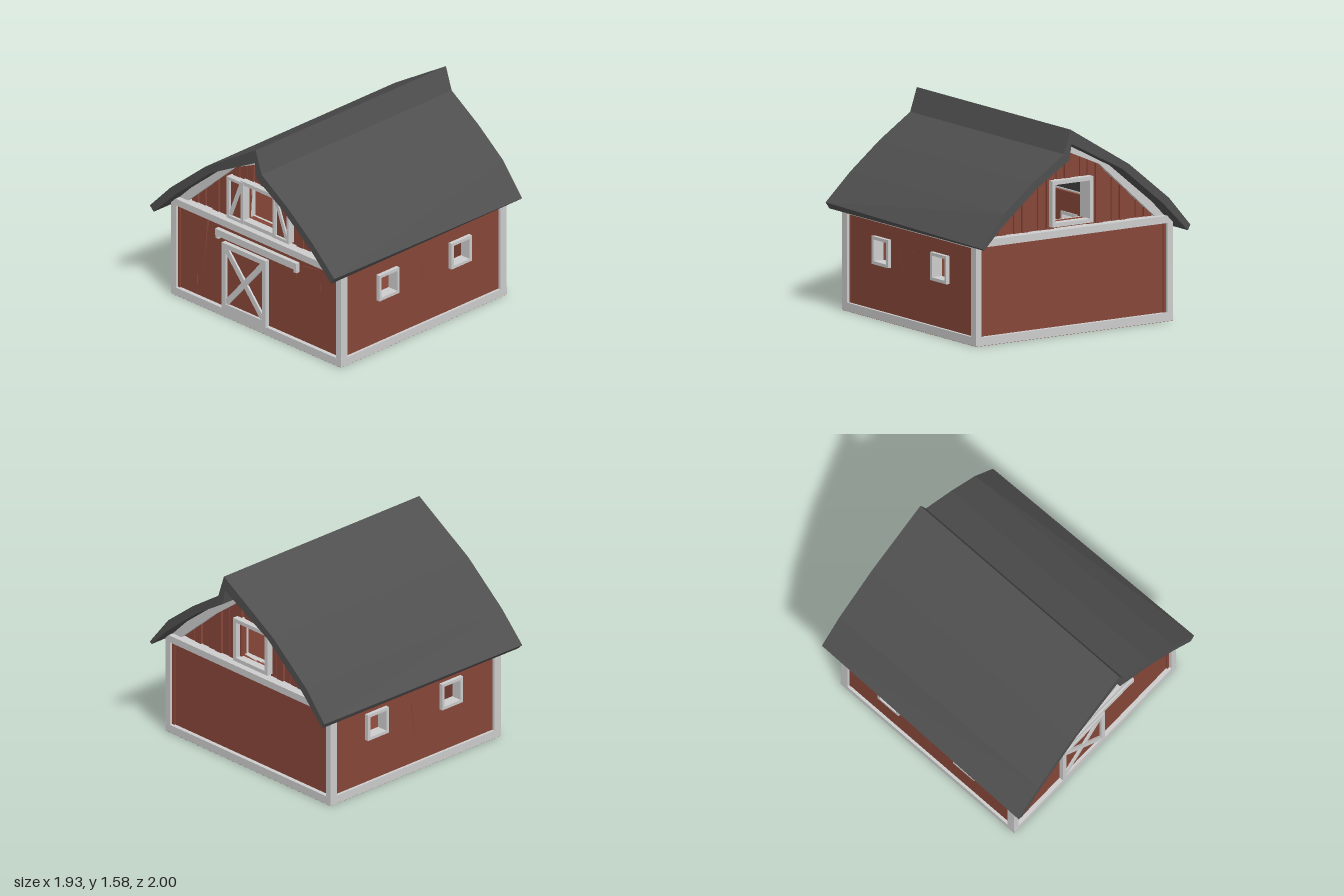
import * as THREE from 'three';

const mat = (name, color) => Object.assign(new THREE.MeshStandardMaterial({ color, flatShading: true }), { name });

export function createModel() {
  const barn = new THREE.Group();
  barn.name = 'barn';
  const red = mat('barn red', 0x864638);
  const white = mat('trim white', 0xcccccc);
  const grey = mat('roof grey', 0x4f4f4f);

  const add = (name, geo, m) => {
    const mesh = new THREE.Mesh(geo, m);
    mesh.name = name;
    barn.add(mesh);
    return mesh;
  };
  const box = (name, m, x0, x1, y0, y1, z0, z1) =>
    add(name, new THREE.BoxGeometry(x1 - x0, y1 - y0, Math.abs(z1 - z0))
      .translate((x0 + x1) / 2, (y0 + y1) / 2, (z0 + z1) / 2), m);
  const rect = (x0, x1, y0, y1) => [[x0, y0], [x1, y0], [x1, y1], [x0, y1]];
  const toV = (pts) => pts.map(([x, y]) => new THREE.Vector2(x, y));

  // outline in x,y (with holes) extruded between two depths
  const prismGeo = (pts, za, zb, holes = []) => {
    const shape = new THREE.Shape(toV(pts));
    holes.forEach((h) => shape.holes.push(new THREE.Path(toV(h))));
    return new THREE.ExtrudeGeometry(shape, { depth: Math.abs(zb - za), bevelEnabled: false })
      .translate(0, 0, Math.min(za, zb));
  };
  const prism = (name, m, pts, za, zb, holes) => add(name, prismGeo(pts, za, zb, holes), m);
  // same, but the outline lies in z,y and the depth runs along x
  const sidePrism = (name, m, pts, xa, xb, holes) =>
    add(name, prismGeo(pts, -xa, -xb, holes).rotateY(-Math.PI / 2), m);
  // straight board between two points of a front-facing plane
  const board = (name, m, [ax, ay], [bx, by], w, z0, z1) => {
    const len = Math.hypot(bx - ax, by - ay);
    add(name, new THREE.BoxGeometry(len, w, z1 - z0)
      .rotateZ(Math.atan2(by - ay, bx - ax))
      .translate((ax + bx) / 2, (ay + by) / 2, (z0 + z1) / 2), m);
  };

  const xL = -0.875, xR = 0.905, zE = 0.873;

  // floor
  box('floor', red, xL + 0.002, xR - 0.002, 0, 0.03, -zE + 0.002, zE - 0.002);

  // lower front and back walls
  for (const s of [1, -1]) {
    box(s > 0 ? 'frontWall' : 'backWall', red, xL + 0.02, xR - 0.02, 0.02, 0.77, s * 0.79, s * 0.84);
    box('endBaseTrim', white, xL, xR, 0.002, 0.066, s * 0.8, s * zE);
    box('endBeam', white, xL + 0.01, xR - 0.03, 0.745, 0.8, s * 0.74, s * zE);
  }

  // side walls with two framed square windows each
  const windows = [0.37, -0.39];
  const square = (z, r) => rect(z - r, z + r, 0.52 - r, 0.52 + r);
  for (const [s, xe] of [[-1, xL], [1, xR]]) {
    const xo = xe - s * 0.022;
    sidePrism('sideWall', red, rect(-0.85, 0.85, 0.02, 0.78), xo, xo - s * 0.05, windows.map((z) => square(z, 0.09)));
    for (const z of windows)
      sidePrism('sideWindowFrame', white, square(z, 0.106), xe + s * 0.009, xo - s * 0.06, [square(z, 0.082)]);
    const xi = xe - s * 0.05;
    const a = Math.min(xe, xi), b = Math.max(xe, xi);
    box('sideBaseTrim', white, a, b, 0.002, 0.066, -0.86, 0.86);
    box('sideTopTrim', white, a, b, 0.738, 0.79, -0.86, 0.86);
    for (const t of [1, -1]) box('cornerPost', white, a, b, 0.003, 0.79, t * 0.805, t * (zE - 0.001));
  }

  // gable ends
  const outer = [[-0.85, 0.8], [-0.33, 1.23], [0.13, 1.47], [0.15, 1.35], [0.44, 1.17], [0.72, 0.95], [0.87, 0.8]];
  const inner = [[-0.74, 0.8], [-0.24, 1.25], [0.125, 1.41], [0.13, 1.33], [0.41, 1.12], [0.78, 0.8]];
  const topAt = (x) => {
    const i = Math.max(1, outer.findIndex((p) => p[0] >= x));
    const [p, q] = [outer[i - 1], outer[i]];
    return p[1] + (q[1] - p[1]) * (x - p[0]) / (q[0] - p[0]) - 0.015;
  };
  const loft = rect(-0.14, 0.17, 0.85, 1.14);
  const plankRows = [[-0.8, -0.15, 9], [-0.15, 0.13, 4], [0.15, 0.81, 9]];
  for (const s of [1, -1]) {
    prism('gableWall', red, outer, s * 0.74, s * 0.785, [loft]);
    prism('rakeTrim', white, [...outer, ...inner.slice().reverse()], s * 0.75, s * 0.83);
    prism('loftWindowFrame', white, rect(-0.17, 0.2, 0.82, 1.17), s * 0.72, s * 0.85, [loft]);
    // vertical planks with narrow gaps
    plankRows.forEach(([x0, x1, n], row) => {
      const w = (x1 - x0) / n;
      for (let i = 0; i < n; i++) {
        const a = x0 + i * w + 0.004, b = x0 + (i + 1) * w - 0.004;
        const base = row === 1 || b < 0.2 && row === 2 ? 1.15 : 0.79;
        prism('gablePlank', red, [[a, base], [b, base], [b, topAt(b)], [a, topAt(a)]],
          s * 0.78, s * (0.793 + 0.006 * ((i * 2 + row) % 3)));
      }
    });
  }

  // open loft shutters, each with one diagonal brace
  for (const s of [-1, 1]) {
    const X = (u) => 0.015 + s * u;
    const span = (u, v) => [Math.min(X(u), X(v)), Math.max(X(u), X(v))];
    const [a, b] = span(0.155, 0.325);
    prism('shutterFrame', white, rect(a, b, 0.82, 1.16), 0.8, 0.855, [rect(a + 0.024, b - 0.024, 0.844, 1.136)]);
    box('shutterPanel', red, a + 0.01, b - 0.01, 0.83, 1.15, 0.8, 0.835);
    board('shutterBrace', white, [X(0.295), 0.85], [X(0.185), 1.13], 0.028, 0.82, 0.85);
  }

  // sliding door with cross brace, and its rail
  prism('doorFrame', white, rect(-0.34, 0.12, 0.06, 0.61), 0.83, 0.876, [rect(-0.303, 0.083, 0.11, 0.57)]);
  box('doorPanel', red, -0.32, 0.1, 0.08, 0.6, 0.83, 0.855);
  board('doorBrace', white, [-0.3, 0.12], [0.08, 0.56], 0.045, 0.84, 0.87);
  board('doorBrace', white, [-0.3, 0.56], [0.08, 0.12], 0.045, 0.84, 0.871);
  box('doorRail', white, -0.41, 0.44, 0.645, 0.7, 0.83, 0.876);
  for (const x of [-0.41, 0.41]) box('railEnd', white, x, x + 0.03, 0.622, 0.68, 0.83, 0.874);

  // splintered ridges in the boards: [from u,v, to u,v, radius]
  const splinter = (u0, v0, u1, v1, r) => new THREE.ConeGeometry(r, Math.hypot(u1 - u0, v1 - v0), 3)
    .scale(1, 1, 0.6)
    .rotateZ(Math.atan2(v1 - v0, u1 - u0) - Math.PI / 2)
    .translate((u0 + u1) / 2, (v0 + v1) / 2, 0);
  const frontMarks = [[-0.52, 0.73, -0.585, 0.09, 0.02], [-0.63, 0.15, -0.63, 0.55, 0.012],
    [-0.51, 0.74, -0.51, 0.22, 0.01], [0.48, 0.68, 0.85, 0.74, 0.014],
    [0.41, 0.61, 0.41, 0.44, 0.008], [0.66, 0.62, 0.67, 0.28, 0.008]];
  const sideMarks = [[0.13, 0.4, 0.17, 0.74, 0.018], [0.13, 0.5, 0.095, 0.2, 0.018],
    [-0.03, 0.58, 0.04, 0.07, 0.015], [-0.57, 0.73, -0.64, 0.25, 0.015], [0.65, 0.22, 0.58, 0.07, 0.008]];
  for (const k of frontMarks) add('frontSplinter', splinter(...k).translate(0, 0, 0.837), red);
  for (const k of sideMarks) {
    add('sideSplinter', splinter(...k).rotateY(-Math.PI / 2).translate(xL + 0.024, 0, 0), red);
    add('sideSplinter', splinter(...k).rotateY(-Math.PI / 2).translate(xR - 0.024, 0, 0), red);
  }

  // curved roof with an off-centre ridge, slightly narrower at the back
  const roof = prismGeo([
    [-0.97, 0.74], [-0.75, 0.965], [-0.39, 1.26], [0.14, 1.58], [0.2, 1.4], [0.48, 1.215], [0.74, 1.01], [0.965, 0.8],
    [0.93, 0.75], [0.72, 0.95], [0.44, 1.17], [0.15, 1.35], [0.13, 1.47], [-0.33, 1.23], [-0.7, 0.925], [-0.93, 0.7],
  ], -1, 1);
  const p = roof.attributes.position;
  for (let i = 0; i < p.count; i++) {
    const x = p.getX(i);
    if (p.getZ(i) > 0 || Math.abs(x) < 0.9) continue;
    p.setX(i, x * (Math.abs(x) > 0.95 ? 0.973 : 0.99));
    if (x > 0.95) p.setY(i, 0.765);
  }
  roof.computeVertexNormals();
  add('roof', roof, grey);

  return barn;
}
